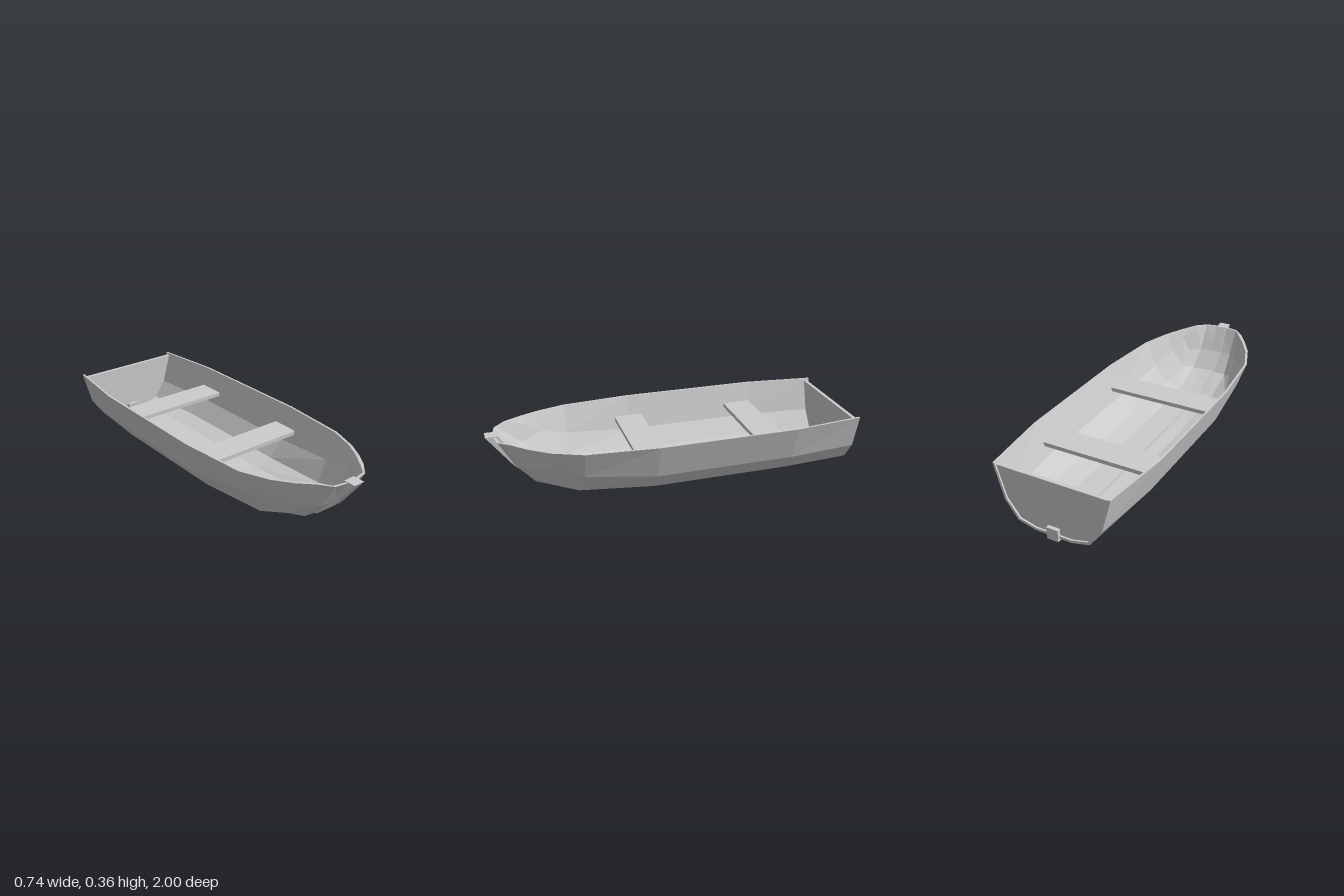
import * as THREE from 'three';

const material = new THREE.MeshStandardMaterial({ color: 0xcccccc, flatShading: true });

// Half sections from stern to bow: [x, y, z] from the centreline out to the gunwale
const STATIONS = [
  [[0, .025, -.99], [.1, .025, -.99], [.2, .05, -.99], [.27, .15, -.99], [.32, .34, -.99]],
  [[0, .025, -.6], [.113, .025, -.6], [.228, .05, -.6], [.308, .15, -.6], [.365, .34, -.6]],
  [[0, .025, .16], [.115, .025, .16], [.23, .05, .16], [.31, .15, .16], [.368, .34, .16]],
  [[0, .038, .58], [.112, .045, .575], [.21, .078, .56], [.28, .19, .54], [.335, .34, .54]],
  [[0, .108, .78], [.107, .112, .77], [.166, .132, .73], [.24, .24, .70], [.277, .345, .70]],
  [[0, .21, .875], [.1, .215, .865], [.168, .217, .81], [.21, .305, .785], [.215, .352, .805]],
  [[0, .355, .965], [.1, .355, .945], [.155, .36, .885], [.155, .36, .885], [.155, .36, .885]],
];

// Planking thickness: x and y inset per line, y and z weight per station
const INSET_X = [0, 0, .01, .012, .012];
const INSET_Y = [.014, .014, .012, .006, 0];
const WEIGHT_Y = [1, 1, 1, 1, .8, .5, 0];
const INSET_Z = [0, 0, 0, .004, .009, .012, .014];

const innerHalf = (half, i) => half.map(([x, y, z], k) =>
  [x - INSET_X[k], y + INSET_Y[k] * WEIGHT_Y[i], z - INSET_Z[i]]);

// Full section from the left gunwale, under the keel, to the right gunwale
const mirrored = half => [
  ...half.slice(1).reverse(),
  ...half.map(([x, y, z]) => [-x, y, z]),
];

function hullGeometry() {
  const outer = STATIONS.map(mirrored);
  const inner = STATIONS.map((half, i) => mirrored(innerHalf(half, i)));
  const rings = outer.map((section, i) => [...section, ...inner[i].slice().reverse()]);
  const positions = [];
  const same = (a, b) => a.every((v, i) => Math.abs(v - b[i]) < 1e-6);
  const tri = (a, b, c) => {
    if (!same(a, b) && !same(b, c) && !same(c, a)) positions.push(...a, ...b, ...c);
  };
  const quad = (a, b, c, d) => { tri(a, b, c); tri(a, c, d); };

  // Outer skin, gunwale and inner skin
  const n = rings[0].length;
  for (let i = 0; i < rings.length - 1; i++) {
    for (let j = 0; j < n; j++) {
      const k = (j + 1) % n;
      quad(rings[i][j], rings[i + 1][j], rings[i + 1][k], rings[i][k]);
    }
  }
  // Stern edge and bow rim
  const last = rings.length - 1;
  for (let j = 0; j < outer[0].length - 1; j++) {
    quad(outer[0][j], outer[0][j + 1], inner[0][j + 1], inner[0][j]);
    quad(outer[last][j], inner[last][j], inner[last][j + 1], outer[last][j + 1]);
  }
  const geometry = new THREE.BufferGeometry();
  geometry.setAttribute('position', new THREE.Float32BufferAttribute(positions, 3));
  geometry.computeVertexNormals();
  return geometry;
}

// Extrudes a side profile of [z, y] points across the centreline
function sideProfile(points, width) {
  const shape = new THREE.Shape(points.map(([z, y]) => new THREE.Vector2(-z, y)));
  return new THREE.ExtrudeGeometry(shape, { depth: width, bevelEnabled: false })
    .translate(0, 0, -width / 2)
    .rotateY(Math.PI / 2);
}

export function createModel() {
  const boat = new THREE.Group();
  boat.name = 'rowingBoat';
  const add = (name, geometry) => {
    const mesh = new THREE.Mesh(geometry, material);
    mesh.name = name;
    boat.add(mesh);
    return mesh;
  };

  add('hull', hullGeometry());

  // Transom board, set just inside the stern and below the gunwale
  const board = mirrored(innerHalf(STATIONS[0], 0)).map(([x, y]) => new THREE.Vector2(x, Math.min(y, .328)));
  add('transom', new THREE.ExtrudeGeometry(new THREE.Shape(board), { depth: .02, bevelEnabled: false }))
    .position.z = -.98;

  // Keel and stem in one curved timber, with a raised post at the stern
  add('keel', sideProfile([
    [-1, .01], [-.2, 0], [.16, .005], [.58, .022], [.78, .103], [.87, .185], [1, .36],
    [.935, .36], [.85, .225], [.753, .132], [.56, .058], [.16, .046],
    [-.94, .046], [-.94, .075], [-1, .075],
  ], .064));

  // Thwarts
  for (const [name, z] of [['frontSeat', .165], ['rearSeat', -.515]]) {
    add(name, new THREE.BoxGeometry(.64, .022, .16)).position.set(0, .224, z);
  }

  return boat;
}
